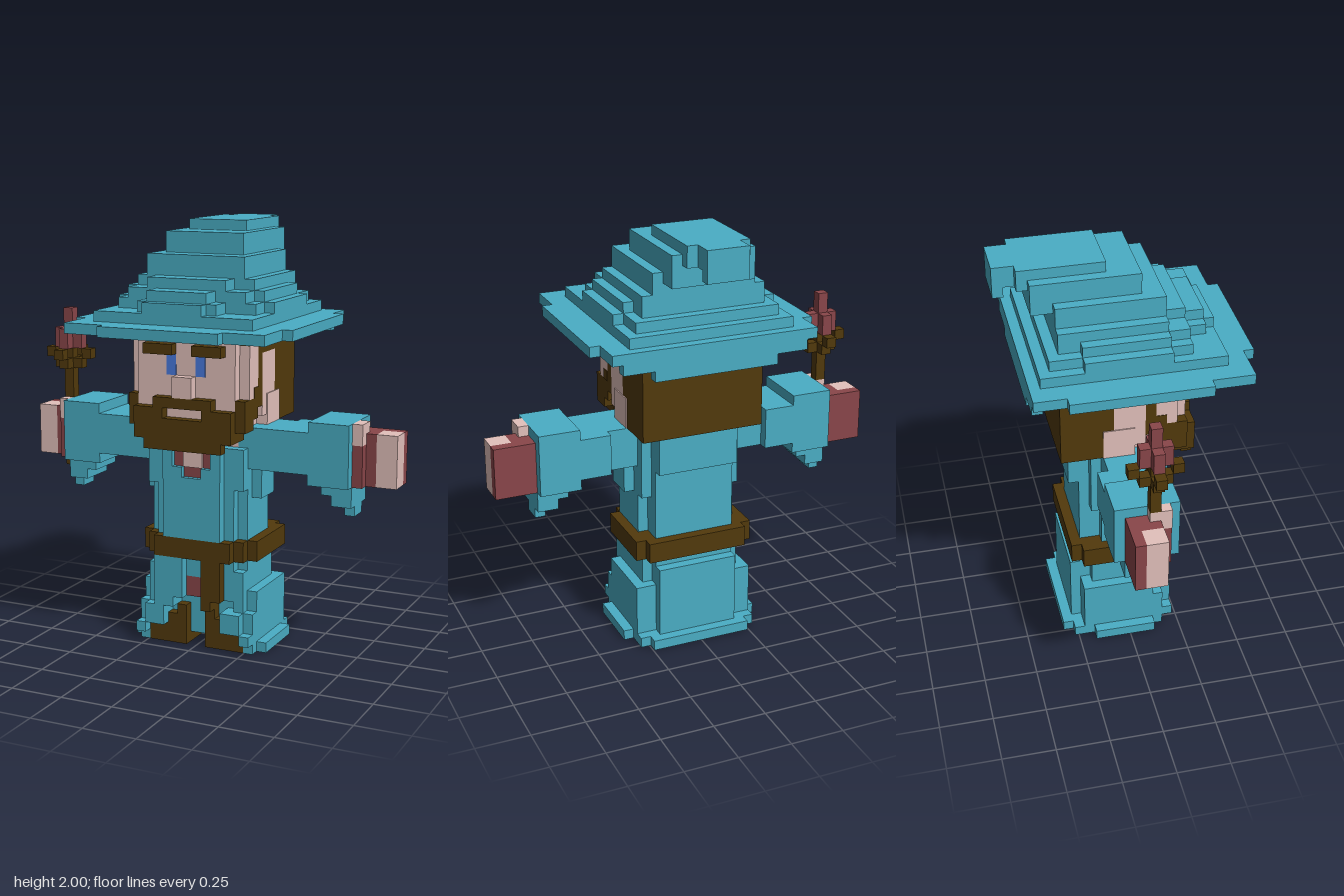
import * as THREE from 'three';
import { mergeGeometries } from 'three/addons/utils/BufferGeometryUtils.js';

const U = 2 / 41; // one block

const material = (name, color) => {
  const m = new THREE.MeshStandardMaterial({ color });
  m.name = name;
  return m;
};

// Block from [x0, x1, y0, y1, z0, z1] in block units; z lines sit half a block forward
function block([x0, x1, y0, y1, z0, z1]) {
  const g = new THREE.BoxGeometry((x1 - x0) * U, (y1 - y0) * U, (z1 - z0) * U);
  return g.translate((x0 + x1) / 2 * U, (y0 + y1) / 2 * U, ((z0 + z1) / 2 + 0.5) * U);
}

// Adds the same blocks on the other side of x = 0
const both = (list) => list.flatMap((b) => [b, [-b[1], -b[0], ...b.slice(2)]]);

export function createModel() {
  const model = new THREE.Group();
  model.name = 'wizard';
  const blue = material('robeBlue', 0x4aaec5);
  const brown = material('darkBrown', 0x523a0c);
  const skin = material('skin', 0xe3c1bc);
  const maroon = material('maroon', 0x8a464a);
  const iris = material('eyeBlue', 0x4a7ce0);

  const part = (name, mat, blocks) => {
    const mesh = new THREE.Mesh(mergeGeometries(blocks.map(block)), mat);
    mesh.name = name;
    model.add(mesh);
  };

  // Hat
  part('hatBrim', blue, [
    [-10, 10, 31, 32, -10, 10], [-11, 11, 31, 32, -7, 6], [-6, 6, 31, 32, 10, 11],
    [-9, 9, 30, 31, -10, -9], [-6, 6, 29, 30, -10, -9],
  ]);
  part('hatCone', blue, [
    [-8, 8, 32, 33, -9, 8],
    [-8, 8, 33, 34, -5, 3], [-7, 7, 33, 34, -8, 5], [-4, 4, 33, 34, 5, 7], [-3, 3, 33, 34, 7, 8],
    [-7, 7, 34, 35, -5, 3], [-6, 6, 34, 35, -7, 5], [-3, 3, 34, 35, 5, 7],
    [-6, 6, 35, 36, -7, 3], [-4, 4, 35, 36, 3, 5],
    [-5, 5, 36, 38, -7, 3], [-4, 4, 37, 40, -9, 1], [-3, 3, 39, 41, -10, -2],
  ]);
  part('hatTip', blue, [[-2, 2, 39, 41, -12, -10], [-2, 2, 38, 39, -12, -11]]);

  // Head
  part('face', skin, [[-5, 5, 22, 31, -2, 5], [-4, 4, 20, 22, -4, 2]]);
  part('cheeks', skin, both([[5, 6, 25, 30, 2, 4]]));
  part('ears', skin, both([[5, 6, 23, 29, -2, 1], [5, 6.1, 22, 25, -3, 0]]));
  part('nose', skin, [[-1, 1, 25, 27, 5, 6]]);
  part('eyes', iris, both([[1, 2, 27, 29, 5, 5.05]]));
  part('eyebrows', brown, both([[1, 4, 29, 30, 5, 6]]));
  part('hair', brown, [
    [-6, 6, 22, 31, -7, -2],
    ...both([[5, 6, 30, 31, -2, 4], [5, 6, 24, 30, 1, 2], [5, 6, 29, 30, -2, 1]]),
  ]);
  part('beard', brown, [
    [-3, 3, 24, 25, 5, 6], [-5, 5, 21, 23, 4, 6], [-5, 5, 21, 22, 3, 4], [-4, 4, 20, 21, 5, 6],
    ...both([
      [2, 5, 23, 24, 5, 6], [5, 6, 23, 25, 2, 5], [5, 6, 22, 23, 3, 5], [5, 6.05, 25, 26, 2, 3],
    ]),
  ]);

  // Robe, upper body
  part('robeTop', blue, [
    [-5, 5, 11, 22, -3, 2], [-4, 4, 11, 22, -5, 2], [-4, 4, 11, 20, 2, 3], [-3, 3, 11, 17, 3, 4],
    [-4, 4, 18, 22, -6, -5], [-5, 5, 15, 22, -4, -3],
    ...both([
      [2, 3, 17, 20, 3, 4], [1, 2, 17, 18, 3, 4], [4, 5, 16, 20, 2, 3], [5, 6, 15, 18, -2, 1],
    ]),
  ]);
  part('undershirt', maroon, [[-2, 2, 17, 20, 3, 3.5]]);
  part('neckline', skin, [[-1, 1, 18, 21, 2, 3.7]]);

  // Belt with hanging strap
  part('belt', brown, [[-6, 6, 9, 11, -5, 2], [-5, 5, 9, 11, -6, 3], [-4, 4, 9, 11, -6, 4]]);
  part('beltStrap', brown, [[1, 2, 4, 9, 3, 4], [2, 3, 5, 9, 3, 4]]);

  // Robe skirt, open at the front, with a stepped hem
  part('robeSkirt', blue, [
    [-5, 5, 2, 9, -4, 2], [-4, 4, 2, 9, -5, 2], [-4, 4, 1, 8, -6, -5],
    [-5, 5, 1, 6, -5, -4], [-5, 5, 0, 1, -7, -5], [-1, 1, 1, 5, -5, 2],
    [-4, -1, 5, 9, 2, 4], [-4, -2, 4, 5, 2, 4], [1, 4, 5, 9, 2, 3],
    [-1, 1, 7, 9, 2, 3],
    ...both([
      [5, 6, 0, 6, -5, 2], [4, 5, 2, 8, 2, 3], [3, 5, 2, 4, 2, 4], [5, 6, 1, 4, 2, 3],
      [5, 6, 1, 2, 3, 4], [6, 7, 0, 1, -4, 2], [5, 6, 0, 1, -6, 3],
    ]),
  ]);
  part('innerRobe', maroon, [[-1, 1, 5, 7, 2, 3]]);
  part('feet', brown, [
    ...both([[1, 5, 0, 1, -5, 3], [1, 5, 1, 2, -4, 3]]),
    [-3, -1, 2, 3, 2, 3], [-2, -1, 3, 4, 2, 3], [1, 3, 2, 3, 2, 3], [1, 2, 3, 5, 2, 3],
  ]);

  // Arms
  part('sleeves', blue, both([
    [5, 11, 18, 22, -3, 2], [11, 15, 18, 23, -4, 2], [8, 11, 18, 22, -4, -3],
    [11, 15, 17, 18, -4, 2], [12, 15, 16, 17, -3, 1], [13, 15, 15, 16, -3, 1], [14, 15, 14, 15, -2, 0],
  ]));
  part('palms', maroon, both([
    [15, 17, 17, 22, -3, 0], [17, 19, 17, 22, -3, -2], [15, 16, 17, 21, 0, 1],
  ]));
  part('fingers', skin, both([[17, 19, 17, 22, -2, 0]]));
  part('thumbs', skin, both([[15, 16, 21, 23, -1, 1.05]]));

  // Staff in the right hand
  part('staff', brown, [
    [-16, -15, 16, 17, -1, 0], [-16, -15, 23, 28, -1, 0],
    [-17, -14, 26, 27, -1, 0], [-16, -15, 26, 27, -2, 1],
    [-18, -17, 27, 28, -1, 0], [-14, -13, 27, 28, -1, 0],
    [-16, -15, 27, 28, -3, -2], [-16, -15, 27, 28, 1, 2],
  ]);
  part('staffGem', maroon, [
    [-17, -14, 28, 30, -1, 0], [-16, -15, 28, 30, -2, 1], [-16, -15, 30, 32, -1, 0],
  ]);
  return model;
}
